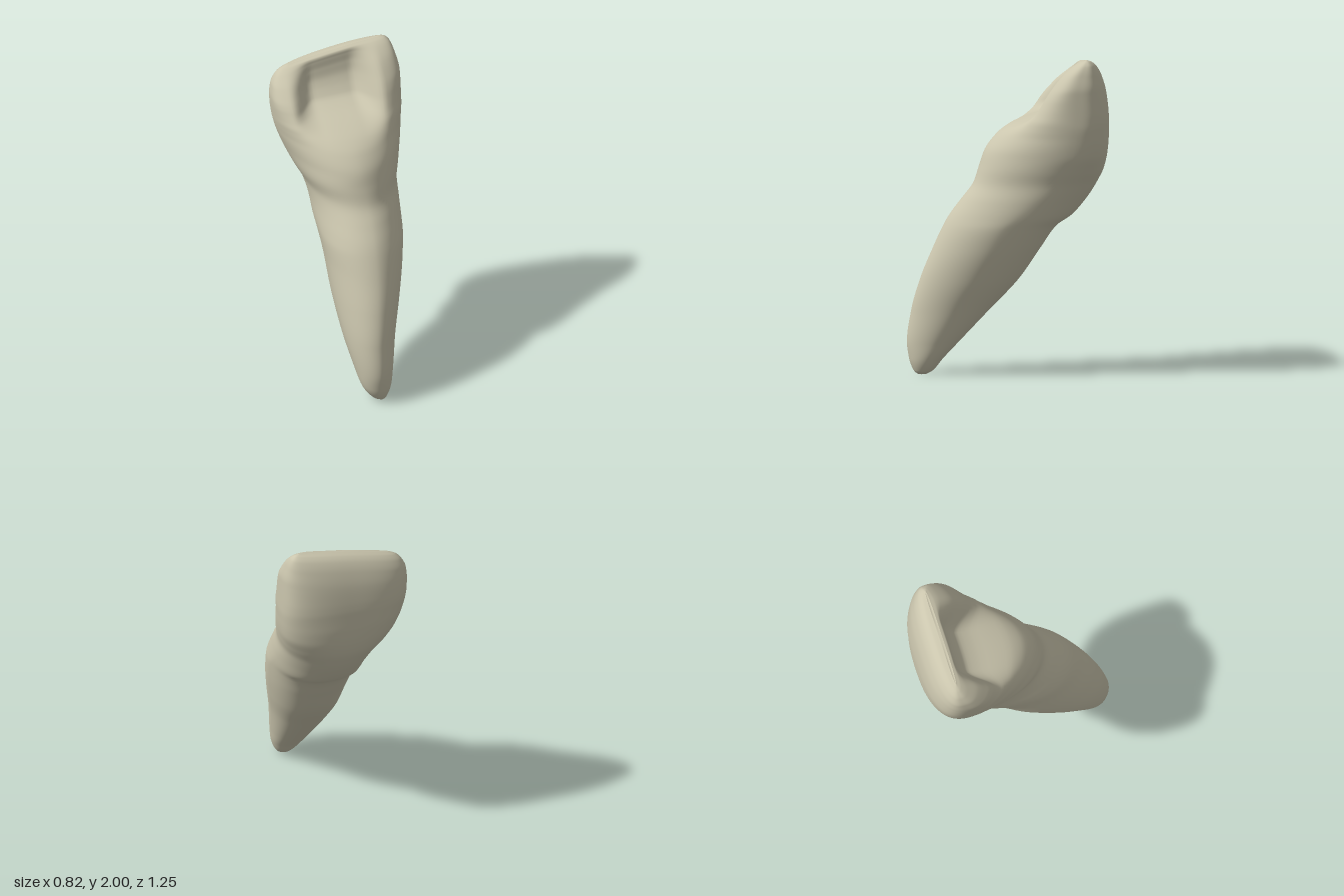
import * as THREE from 'three';

// Outline widths: height, right side x, left side x
const WIDTH = [
  [0, 0.02, 0.04], [0.02, -0.03, 0.066], [0.1, -0.09, 0.1], [0.2, -0.12, 0.12], [0.4, -0.165, 0.162],
  [0.6, -0.19, 0.22], [0.8, -0.205, 0.27], [1, -0.23, 0.305], [1.1, -0.235, 0.315],
  [1.2, -0.255, 0.325], [1.3, -0.31, 0.355], [1.4, -0.355, 0.385], [1.5, -0.388, 0.4],
  [1.6, -0.403, 0.408], [1.8, -0.413, 0.405], [1.9, -0.403, 0.385], [1.96, -0.375, 0.363],
  [1.99, -0.335, 0.335], [2, -0.29, 0.31],
];
// Side profile: height, back z, front z
const DEPTH = [
  [0, 0.51, 0.56], [0.02, 0.47, 0.585], [0.1, 0.4, 0.615], [0.2, 0.305, 0.627], [0.4, 0.115, 0.6],
  [0.6, -0.07, 0.545], [0.8, -0.205, 0.465], [0.94, -0.305, 0.4], [1, -0.395, 0.365], [1.1, -0.485, 0.29],
  [1.2, -0.55, 0.215], [1.3, -0.597, 0.18], [1.4, -0.617, 0.145], [1.5, -0.624, 0.07],
  [1.6, -0.624, -0.04], [1.65, -0.622, -0.1], [1.7, -0.618, -0.145], [1.8, -0.605, -0.22],
  [1.9, -0.577, -0.3], [1.96, -0.545, -0.37], [1.99, -0.51, -0.42], [2, -0.475, -0.455],
];
// Section shape: height, place of widest point (0 back, 1 front),
// roundness of front right, front left and back, hollow depth
const SHAPE = [
  [0, 0.5, 2, 2, 2, 0], [0.2, 0.5, 1.95, 1.8, 2.4, 0], [0.9, 0.5, 2, 1.75, 2.45, 0],
  [1.1, 0.46, 2.1, 1.8, 2.15, 0], [1.2, 0.42, 2.1, 1.85, 2.2, 0], [1.3, 0.37, 2.08, 1.9, 2.35, 0],
  [1.4, 0.32, 1.9, 1.84, 2.5, 0], [1.5, 0.34, 1.85, 1.85, 2.7, 0], [1.56, 0.36, 2, 2, 2.8, 0.015],
  [1.62, 0.39, 2.3, 2.3, 2.9, 0.085], [1.66, 0.41, 2.5, 2.5, 2.9, 0.15], [1.71, 0.44, 2.7, 2.7, 2.9, 0.19],
  [1.76, 0.47, 2.9, 2.9, 2.9, 0.187], [1.82, 0.5, 3, 3, 2.9, 0.172], [1.9, 0.5, 3, 3, 2.9, 0.125],
  [1.96, 0.5, 2.9, 2.9, 2.8, 0.06], [2, 0.5, 2.6, 2.6, 2.6, 0],
];

// Smooth interpolation through a table at height y
function sample(table, y) {
  let k = 0;
  while (k < table.length - 2 && y > table[k + 1][0]) k++;
  const a = table[k], b = table[k + 1], h = b[0] - a[0], t = (y - a[0]) / h;
  const slope = (i, c) => {
    const d = (p, q) => (table[q][c] - table[p][c]) / (table[q][0] - table[p][0]);
    if (i === 0) return d(0, 1);
    if (i === table.length - 1) return d(i - 1, i);
    const l = d(i - 1, i), r = d(i, i + 1);
    return l * r <= 0 ? 0 : (2 * l * r) / (l + r);
  };
  const t2 = t * t, t3 = t2 * t;
  return a.slice(1).map((v, i) =>
    (2 * t3 - 3 * t2 + 1) * v + (t3 - 2 * t2 + t) * h * slope(k, i + 1) +
    (3 * t2 - 2 * t3) * b[i + 1] + (t3 - t2) * h * slope(k + 1, i + 1));
}

// Loft of closed sections from root tip to biting edge
function toothGeometry(rows = 160, cols = 128) {
  const pos = [], index = [];
  const smooth = THREE.MathUtils.smoothstep;
  // The biting edge curves down towards the right side
  const add = (x, y, z) =>
    pos.push(x, y + (x - 0.31) * (0.145 - 0.135 * x) * smooth(y, 1.45, 2), z);

  for (let i = 0; i <= rows; i++) {
    const y = 1 - Math.cos((Math.PI * i) / rows);
    const [xr, xl] = sample(WIDTH, y), [zb, zf] = sample(DEPTH, y);
    const [wide, nRight, nLeft, nBack, hollow] = sample(SHAPE, y);
    const zw = zb + (zf - zb) * wide;
    for (let j = 0; j < cols; j++) {
      const t = (j / cols) * Math.PI * 2, c = Math.cos(t), s = Math.sin(t);
      const n = s <= 0 ? nBack : c > 0 ? nLeft : nRight;
      const r = Math.pow(Math.abs(c) ** n + Math.abs(s) ** n, -1 / n);
      const x = (xr + xl) / 2 + ((xl - xr) / 2) * c * r;
      let z = zw + (s > 0 ? zf - zw : zw - zb) * s * r;
      // Hollow between the two side ridges
      if (s > 0) z -= hollow * (1 - smooth(Math.abs(x + 0.03), 0.12, 0.3));
      add(x, y, z);
    }
  }
  for (let i = 0; i < rows; i++) {
    for (let j = 0; j < cols; j++) {
      const a = i * cols + j, b = i * cols + ((j + 1) % cols);
      index.push(a, a + cols, b, b, a + cols, b + cols);
    }
  }
  // Close both ends
  const bottom = pos.length / 3;
  add(0.03, 0, 0.535);
  add(0.01, 2, -0.465);
  const last = rows * cols;
  for (let j = 0; j < cols; j++) {
    const k = (j + 1) % cols;
    index.push(bottom, j, k, bottom + 1, last + k, last + j);
  }
  const g = new THREE.BufferGeometry();
  g.setAttribute('position', new THREE.Float32BufferAttribute(pos, 3));
  g.setIndex(index);
  g.computeVertexNormals();
  return g;
}

export function createModel() {
  const group = new THREE.Group();
  group.name = 'incisor';
  const ivory = new THREE.MeshStandardMaterial({ color: 0xcac5ad });
  ivory.name = 'ivory';
  const tooth = new THREE.Mesh(toothGeometry(), ivory);
  tooth.name = 'tooth';
  group.add(tooth);
  return group;
}
